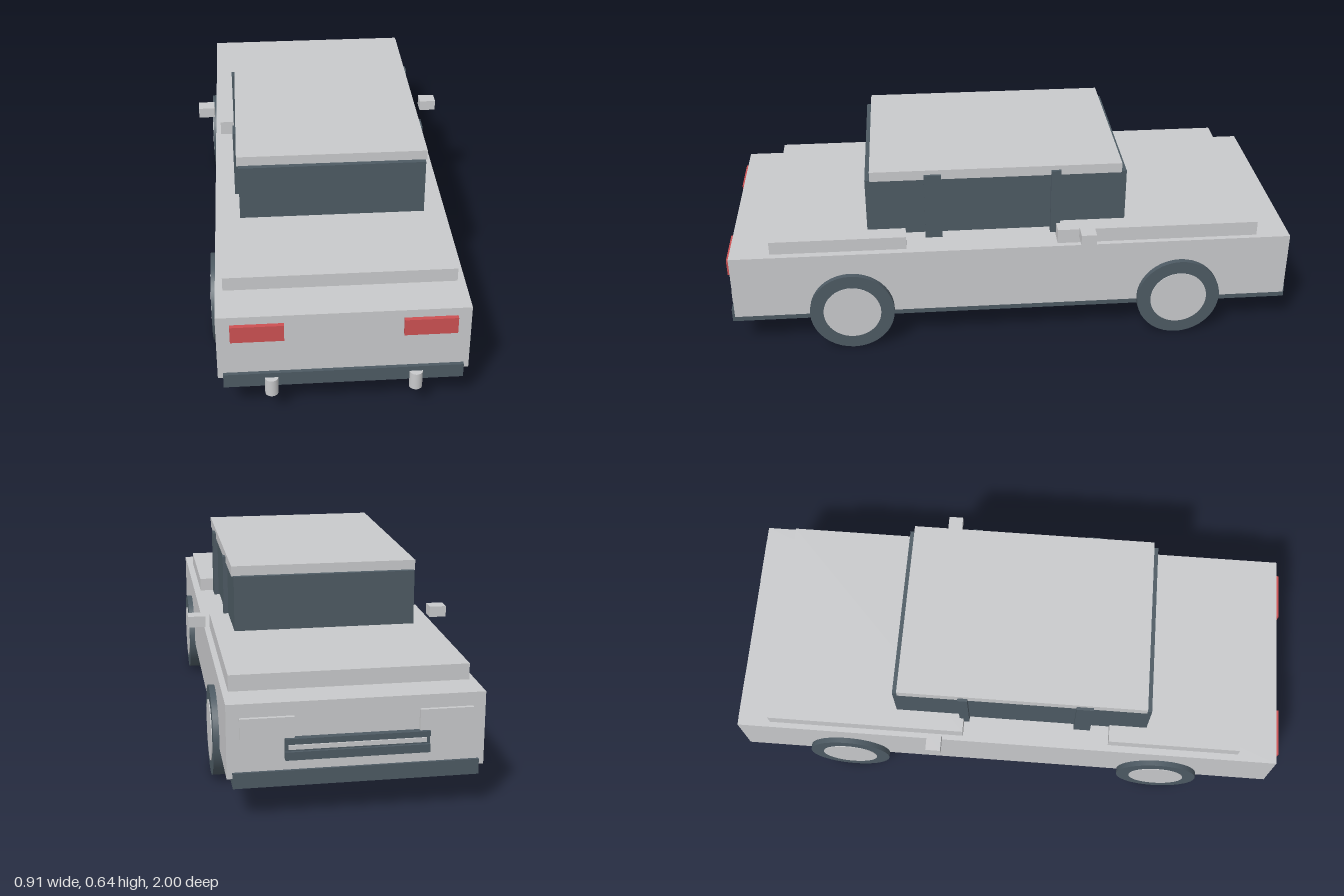
import * as THREE from 'three';

export function createModel() {
  const car = new THREE.Group();
  car.name = 'car';

  const material = (name, color) => {
    const m = new THREE.MeshStandardMaterial({ color });
    m.name = name;
    return m;
  };
  const paint = material('light grey', 0xc8c9cb);
  const dark = material('dark slate', 0x4d5a63);
  const red = material('red', 0xcb5052);

  // Box given by its limits on each axis
  const box = (name, mat, [x0, x1], [y0, y1], [z0, z1]) => {
    const mesh = new THREE.Mesh(new THREE.BoxGeometry(x1 - x0, y1 - y0, z1 - z0), mat);
    mesh.position.set((x0 + x1) / 2, (y0 + y1) / 2, (z0 + z1) / 2);
    mesh.name = name;
    car.add(mesh);
  };
  // Same box on both sides of the car
  const pair = (name, mat, [x0, x1], y, z) => {
    box(name + 'Left', mat, [x0, x1], y, z);
    box(name + 'Right', mat, [-x1, -x0], y, z);
  };
  const cylinder = (name, mat, radius, length, parent) => {
    const mesh = new THREE.Mesh(new THREE.CylinderGeometry(radius, radius, length, 40), mat);
    mesh.name = name;
    parent.add(mesh);
    return mesh;
  };

  // Body and chassis
  box('body', paint, [-0.394, 0.394], [0.137, 0.371], [-0.978, 0.968]);
  box('chassis', dark, [-0.377, 0.377], [0.108, 0.157], [-0.987, 0.98]);
  box('shortDeck', paint, [-0.37, 0.37], [0.365, 0.418], [0.363, 0.83]);
  box('longDeck', paint, [-0.375, 0.375], [0.365, 0.423], [-0.862, -0.16]);

  // Cabin, raised slightly above the body between the decks
  box('windows', dark, [-0.309, 0.309], [0.4, 0.61], [-0.402, 0.495]);
  box('roof', paint, [-0.315, 0.315], [0.608, 0.643], [-0.384, 0.478]);
  pair('widePillar', dark, [0.295, 0.325], [0.386, 0.627], [0.236, 0.295]);
  pair('narrowPillar', dark, [0.295, 0.325], [0.386, 0.627], [-0.174, -0.14]);

  // Mirrors, red lights and plain lamps
  pair('mirror', paint, [0.398, 0.457], [0.408, 0.446], [-0.283, -0.231]);
  pair('redLight', red, [0.185, 0.351], [0.285, 0.343], [0.96, 0.982]);
  pair('lamp', paint, [0.19, 0.355], [0.262, 0.328], [-0.99, -0.97]);

  // Grille: backing, two dark rails and a light bar between them
  box('grille', dark, [-0.22, 0.22], [0.194, 0.262], [-0.991, -0.97]);
  box('grilleUpperRail', dark, [-0.22, 0.22], [0.246, 0.262], [-1, -0.98]);
  box('grilleLowerRail', dark, [-0.22, 0.22], [0.194, 0.22], [-1, -0.98]);
  box('grilleBar', paint, [-0.21, 0.21], [0.226, 0.24], [-0.996, -0.98]);

  for (const side of [-1, 1]) {
    // Upright exhaust pipes
    cylinder('exhaust', paint, 0.021, 0.06, car).position.set(side * 0.227, 0.11, 0.979);

    // Wheels, with hubs showing on both faces
    for (const z of [0.56, -0.592]) {
      const wheel = new THREE.Group();
      wheel.name = 'wheel';
      wheel.rotation.z = Math.PI / 2;
      wheel.position.set(side * 0.361, 0.148, z);
      cylinder('tyre', dark, 0.147, 0.105, wheel);
      cylinder('hub', paint, 0.1, 0.11, wheel);
      car.add(wheel);
    }
  }
  return car;
}
